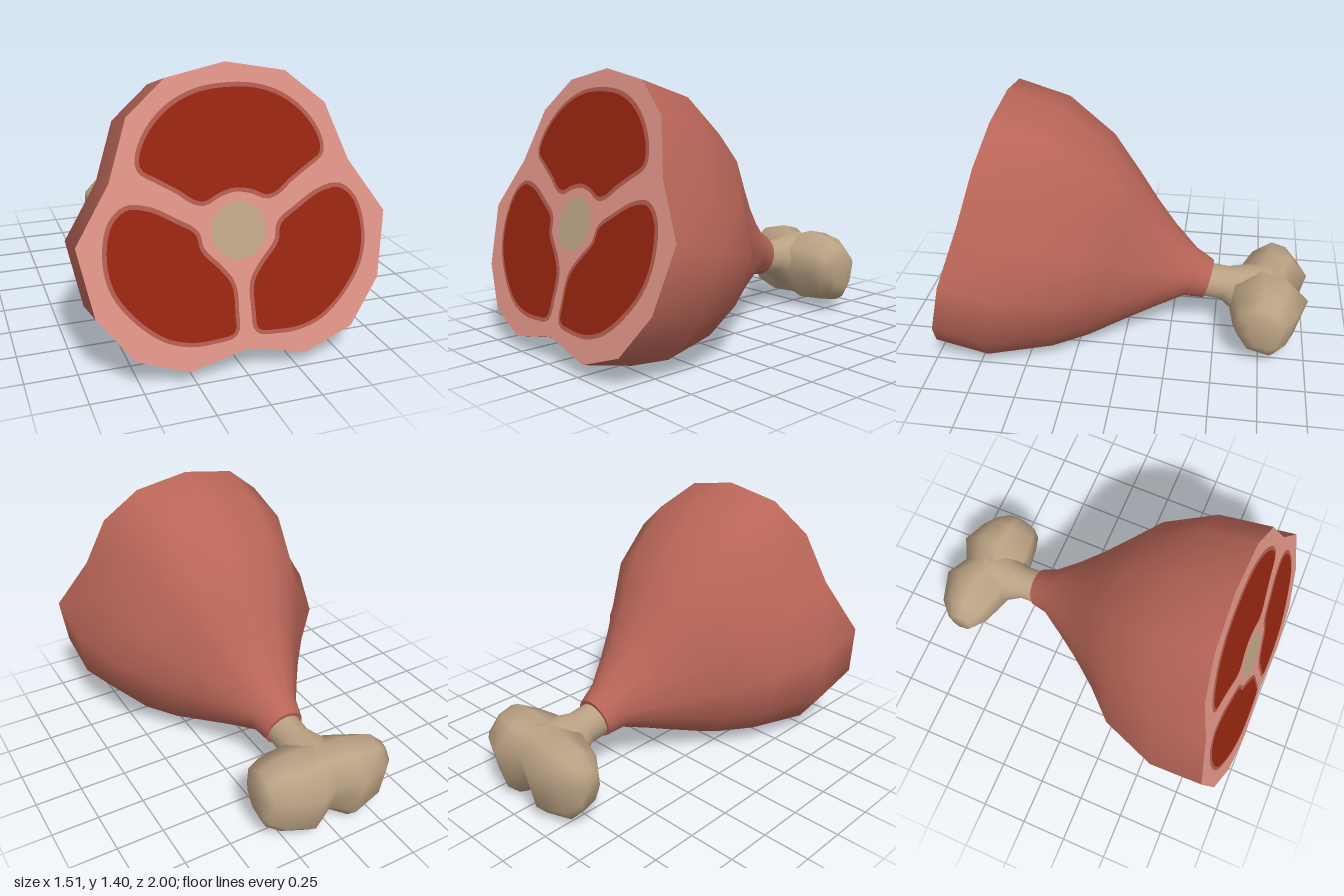
import * as THREE from 'three';

const mat = (name, color, side = THREE.FrontSide) => {
  const m = new THREE.MeshStandardMaterial({ color, side });
  m.name = name;
  return m;
};

// Skin a list of closed rings (arrays of Vector3) with smooth normals
function loft(rings) {
  const n = rings[0].length, index = [];
  for (let i = 0; i < rings.length - 1; i++) {
    for (let j = 0; j < n; j++) {
      const k = (j + 1) % n;
      const a = i * n + j, b = i * n + k, c = a + n, d = b + n;
      index.push(a, b, c, b, d, c);
    }
  }
  const g = new THREE.BufferGeometry().setFromPoints(rings.flat());
  g.setIndex(index);
  g.computeVertexNormals();
  return g;
}

// A ring collapsed to its middle, used to close an end
function closing(ring) {
  const mid = ring.reduce((s, p) => s.add(p), new THREE.Vector3()).divideScalar(ring.length);
  return ring.map(() => mid.clone());
}

// Lobed half section of the cut end: half width (0-1), height fraction (0-1)
const HALF = [[0, 1], [0.387, 0.959], [0.64, 0.842], [0.773, 0.64], [1, 0.45],
  [0.92, 0.22], [0.707, 0.065], [0.387, 0], [0, 0.045]];
const LOBED = [...HALF, ...HALF.slice(1, -1).reverse().map(([x, t]) => [-x, t])];

// Leaning ring from its top and bottom (z, y), half width and roundness
function leaningRing([zt, yt, zb, yb, w, round]) {
  return LOBED.map(([x, t], j) => {
    const a = (j / LOBED.length) * Math.PI * 2;
    const u = THREE.MathUtils.lerp(x, Math.sin(a), round);
    const v = THREE.MathUtils.lerp(t, 0.5 + 0.5 * Math.cos(a), round);
    return new THREE.Vector3(u * w, yb + (yt - yb) * v, zb + (zt - zb) * v);
  });
}

// Flat outline laid on the sloping cut plane
function onCut(points, lift) {
  const g = new THREE.ShapeGeometry(new THREE.Shape(points));
  const p = g.attributes.position;
  for (let i = 0; i < p.count; i++) p.setZ(i, 0.63 + (1.4 - p.getY(i)) * 0.278 + lift);
  g.computeVertexNormals();
  return g;
}

// Smooth closed outline, optionally grown outwards
function outline(pts, grow = 0) {
  const curve = new THREE.CatmullRomCurve3(pts.map(([x, y]) => new THREE.Vector3(x, y, 0)), true);
  const line = curve.getPoints(72).slice(0, -1).map((p) => new THREE.Vector2(p.x, p.y));
  const s = Math.sign(THREE.ShapeUtils.area(line)) * grow;
  return line.map((p, i) => {
    const t = line[(i + 1) % line.length].clone().sub(line.at(i - 1)).normalize();
    return new THREE.Vector2(p.x + t.y * s, p.y - t.x * s);
  });
}

export function createModel() {
  const group = new THREE.Group();
  const skin = mat('skin', 0xb86557);
  const fat = mat('fat', 0xdc9185);
  const rind = mat('meatBorder', 0xb05a4d);
  const meat = mat('meat', 0x94240f);
  const bone = mat('bone', 0xbba284);
  const add = (name, geometry, material) => {
    const m = new THREE.Mesh(geometry, material);
    m.name = name;
    group.add(m);
  };

  // Body, from the cut end to the narrow neck
  const body = [
    [0.63, 1.4, 1.0, 0.07, 0.755, 0],
    [0.35, 1.315, 0.72, 0, 0.75, 0],
    [0.1, 1.115, 0.38, 0.03, 0.625, 0.1],
    [-0.05, 0.92, 0.21, 0.03, 0.46, 0.3],
    [-0.16, 0.76, 0.02, 0.1, 0.335, 0.45],
    [-0.26, 0.63, -0.14, 0.165, 0.24, 0.6],
    [-0.38, 0.5, -0.31, 0.23, 0.14, 0.85],
    [-0.475, 0.435, -0.42, 0.215, 0.11, 1],
  ].map(leaningRing);
  add('body', loft(body), skin);
  const neck = body.at(-1);
  add('neckEnd', loft([neck, closing(neck)]), skin);

  // Cut end with three muscles and the round bone core
  add('cutFace', onCut(body[0].map((p) => new THREE.Vector2(p.x, p.y)), 0), fat);
  const topHalf = [[0.15, 1.275], [0.28, 1.22], [0.38, 1.13], [0.435, 1.03], [0.435, 0.97],
    [0.36, 0.92], [0.27, 0.865], [0.2, 0.815], [0.15, 0.805], [0.08, 0.835]];
  const upper = [[0, 1.29], ...topHalf, [0, 0.85],
    ...topHalf.map(([x, y]) => [-x, y]).reverse()];
  const side = [[0.06, 0.215], [0.15, 0.198], [0.27, 0.2], [0.39, 0.24], [0.52, 0.35],
    [0.6, 0.47], [0.622, 0.6], [0.59, 0.74], [0.52, 0.8], [0.42, 0.788], [0.3, 0.725],
    [0.21, 0.665], [0.19, 0.59], [0.1, 0.49], [0.055, 0.42], [0.05, 0.3]];
  const muscles = { upper, left: side, right: side.map(([x, y]) => [-x, y]) };
  for (const [name, pts] of Object.entries(muscles)) {
    add(name + 'MuscleBorder', onCut(outline(pts, 0.02), 0.003), rind);
    add(name + 'Muscle', onCut(outline(pts), 0.006), meat);
  }
  const core = new THREE.EllipseCurve(0, 0.66, 0.135, 0.127).getPoints(32).slice(0, -1);
  add('boneCore', onCut(core, 0.004), bone);

  // Bone shaft leaving the neck
  add('boneShaft', loft([
    [-0.42, 0.42, -0.38, 0.23, 0.095, 1],
    [-0.57, 0.4, -0.52, 0.21, 0.095, 1],
    [-0.68, 0.42, -0.62, 0.12, 0.14, 1],
    [-0.8, 0.42, -0.75, 0.08, 0.16, 1],
  ].map(leaningRing)), bone);

  // Two-lobed knuckle: tilted sections (x, back z, front z, low y, high y)
  const tilted = [[0.57, 1], [0.26, 0.93], [0, 0.68], [0.14, 0.16], [0.31, 0],
    [0.76, 0.11], [1, 0.45], [0.95, 0.8]];
  const knuckle = [
    [0.36, -0.86, -0.68, 0.14, 0.34],
    [0.33, -0.89, -0.62, 0.08, 0.39],
    [0.26, -0.94, -0.6, 0.04, 0.43],
    [0.12, -1, -0.58, 0.01, 0.45],
    [0, -0.94, -0.58, 0.07, 0.41],
    [-0.12, -1, -0.62, 0.01, 0.45],
    [-0.29, -0.95, -0.68, 0.05, 0.41],
    [-0.365, -0.88, -0.74, 0.13, 0.34],
  ].map(([x, z0, z1, y0, y1]) => tilted.map(([u, v]) =>
    new THREE.Vector3(x, y0 + (y1 - y0) * v, z0 + (z1 - z0) * u)));
  add('boneKnuckle', loft([closing(knuckle[0]), ...knuckle, closing(knuckle.at(-1))]), bone);

  return group;
}
